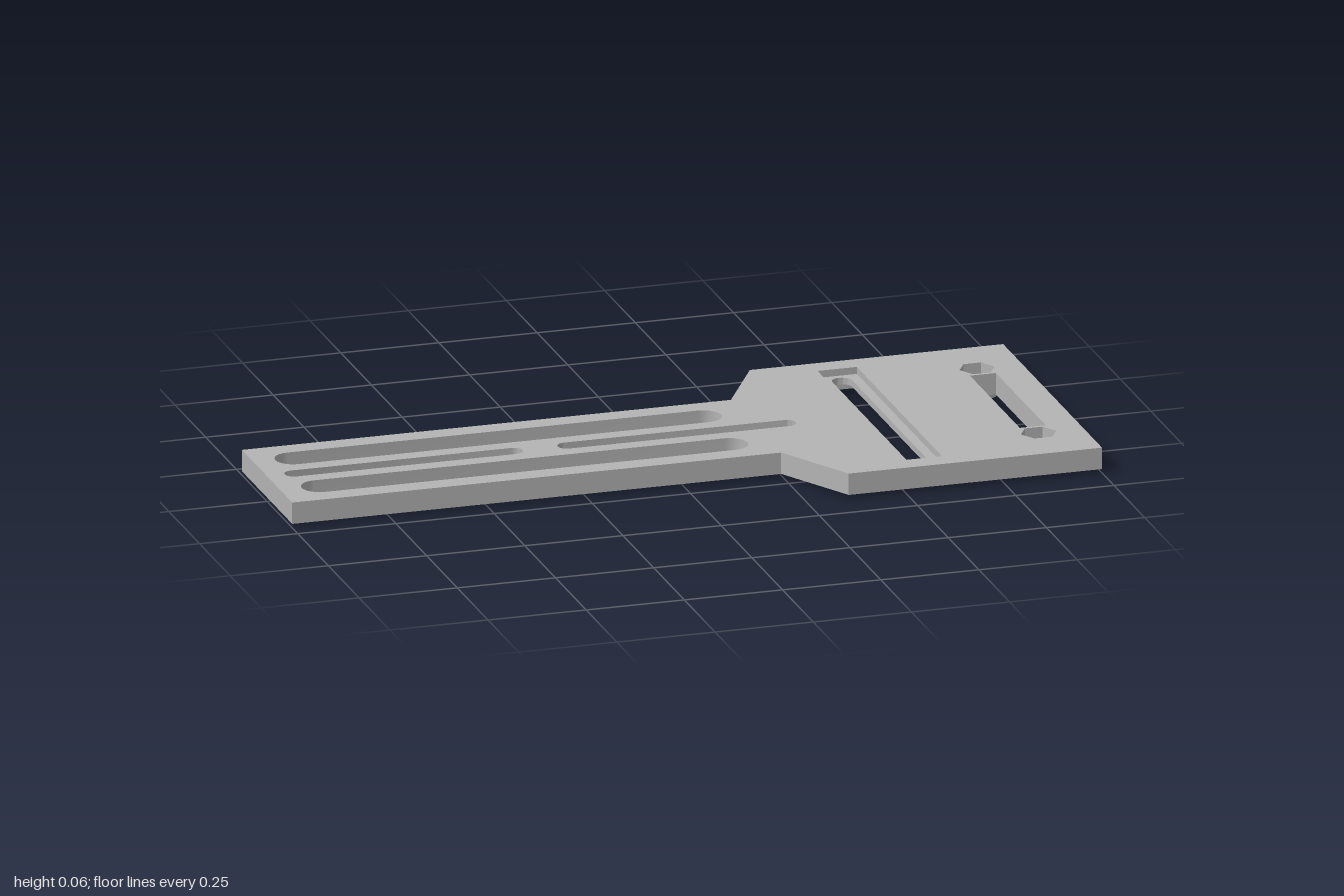
import * as THREE from 'three';
import { mergeGeometries, toCreasedNormals } from 'three/addons/utils/BufferGeometryUtils.js';

// Counter-clockwise outlines in the plan plane
const P = (x, y) => new THREE.Vector2(x, y);
const rect = (x0, x1, h) => [P(x0, -h), P(x1, -h), P(x1, h), P(x0, h)];
const ngon = (cx, cy, r, n) =>
  Array.from({ length: n }, (_, i) => P(cx + r * Math.cos((i * 2 * Math.PI) / n), cy + r * Math.sin((i * 2 * Math.PI) / n)));

// Round-ended slot along x, or along z when turned
function slot(cx, cy, length, width, turned = false) {
  const r = width / 2, half = length / 2 - r, n = 12, pts = [];
  for (const side of [1, -1])
    for (let i = 0; i <= n; i++) {
      const a = -Math.PI / 2 + (i / n) * Math.PI;
      const u = side * (half + r * Math.cos(a)), v = side * r * Math.sin(a);
      pts.push(turned ? P(cx - v, cy + u) : P(cx + u, cy + v));
    }
  return pts;
}

// Flat face with holes, looking up or down
function face(outline, holes, y, up) {
  const shape = new THREE.Shape(outline);
  shape.holes = holes.map((h) => new THREE.Path(h));
  const g = new THREE.ShapeGeometry(shape).toNonIndexed();
  g.rotateX(up ? -Math.PI / 2 : Math.PI / 2);
  g.translate(0, y, 0);
  g.deleteAttribute('uv');
  return g;
}

// Upright wall along an outline; inward for holes and pockets
function wall(outline, y0, y1, inward = false) {
  const pts = inward ? [...outline].reverse() : outline, pos = [];
  pts.forEach((p, i) => {
    const q = pts[(i + 1) % pts.length];
    pos.push(p.x, y0, -p.y, q.x, y0, -q.y, q.x, y1, -q.y);
    pos.push(p.x, y0, -p.y, q.x, y1, -q.y, p.x, y1, -p.y);
  });
  const g = new THREE.BufferGeometry();
  g.setAttribute('position', new THREE.Float32BufferAttribute(pos, 3));
  g.computeVertexNormals();
  return g;
}

export function createModel() {
  const group = new THREE.Group();
  group.name = 'slottedMountingPlate';
  const grey = new THREE.MeshStandardMaterial({ color: 0xb4b4b4 });
  grey.name = 'grey';
  const add = (name, parts) => {
    const mesh = new THREE.Mesh(toCreasedNormals(mergeGeometries(parts), 0.6), grey);
    mesh.name = name;
    group.add(mesh);
  };

  const bottom = 0.01, top = 0.065, ledge = 0.03, topLedge = 0.047, nutSeat = 0.035;
  const outline = [
    P(-1, -0.205), P(0.245, -0.205), P(0.355, -0.403), P(1, -0.403),
    P(1, 0.403), P(0.355, 0.403), P(0.245, 0.205), P(-1, 0.205),
  ];
  const sideSlots = [-1, 1].map((s) => slot(-0.378, s * 0.108, 1.135, 0.09));
  const midCentres = [-0.652, 0.043];
  const midSlots = midCentres.map((x) => slot(x, 0, 0.606, 0.046));
  const midGrooves = midCentres.map((x) => slot(x, 0, 0.64, 0.08));
  const crossSlot = slot(0.56, 0, 0.664, 0.05, true);
  const crossTop = rect(0.51, 0.61, 0.347);
  const crossBottom = rect(0.4, 0.725, 0.35);
  const window = rect(0.853, 0.919, 0.203);
  const bolts = [-0.25, 0.25];
  const hexes = bolts.map((z) => ngon(0.886, z, 0.045, 6));
  const holes = bolts.map((z) => ngon(0.886, z, 0.027, 32));
  const bosses = bolts.map((z) => ngon(0.886, z, 0.05, 40));

  // Main plate with its through openings
  add('plate', [
    wall(outline, bottom, top),
    face(outline, [...sideSlots, ...midSlots, crossTop, window, ...hexes], top, true),
    face(outline, [...sideSlots, ...midGrooves, crossBottom, window, ...holes], bottom, false),
    ...sideSlots.map((s) => wall(s, bottom, top, true)),
    wall(window, bottom, top, true),
  ]);

  // Middle slots, widened on the underside
  midSlots.forEach((s, i) => add('middleSlot', [
    wall(s, ledge, top, true),
    face(midGrooves[i], [s], ledge, false),
    wall(midGrooves[i], bottom, ledge, true),
  ]));

  // Cross slot between an upper and a lower pocket
  add('crossSlot', [
    wall(crossTop, topLedge, top, true),
    face(crossTop, [crossSlot], topLedge, true),
    wall(crossSlot, ledge, topLedge, true),
    face(crossBottom, [crossSlot], ledge, false),
    wall(crossBottom, bottom, ledge, true),
  ]);

  // Hexagonal nut pockets with round bosses beneath
  holes.forEach((h, i) => {
    add('nutPocket', [wall(hexes[i], nutSeat, top, true), face(hexes[i], [h], nutSeat, true), wall(h, 0, nutSeat, true)]);
    add('boss', [wall(bosses[i], 0, bottom), face(bosses[i], [h], 0, false)]);
  });

  return group;
}
